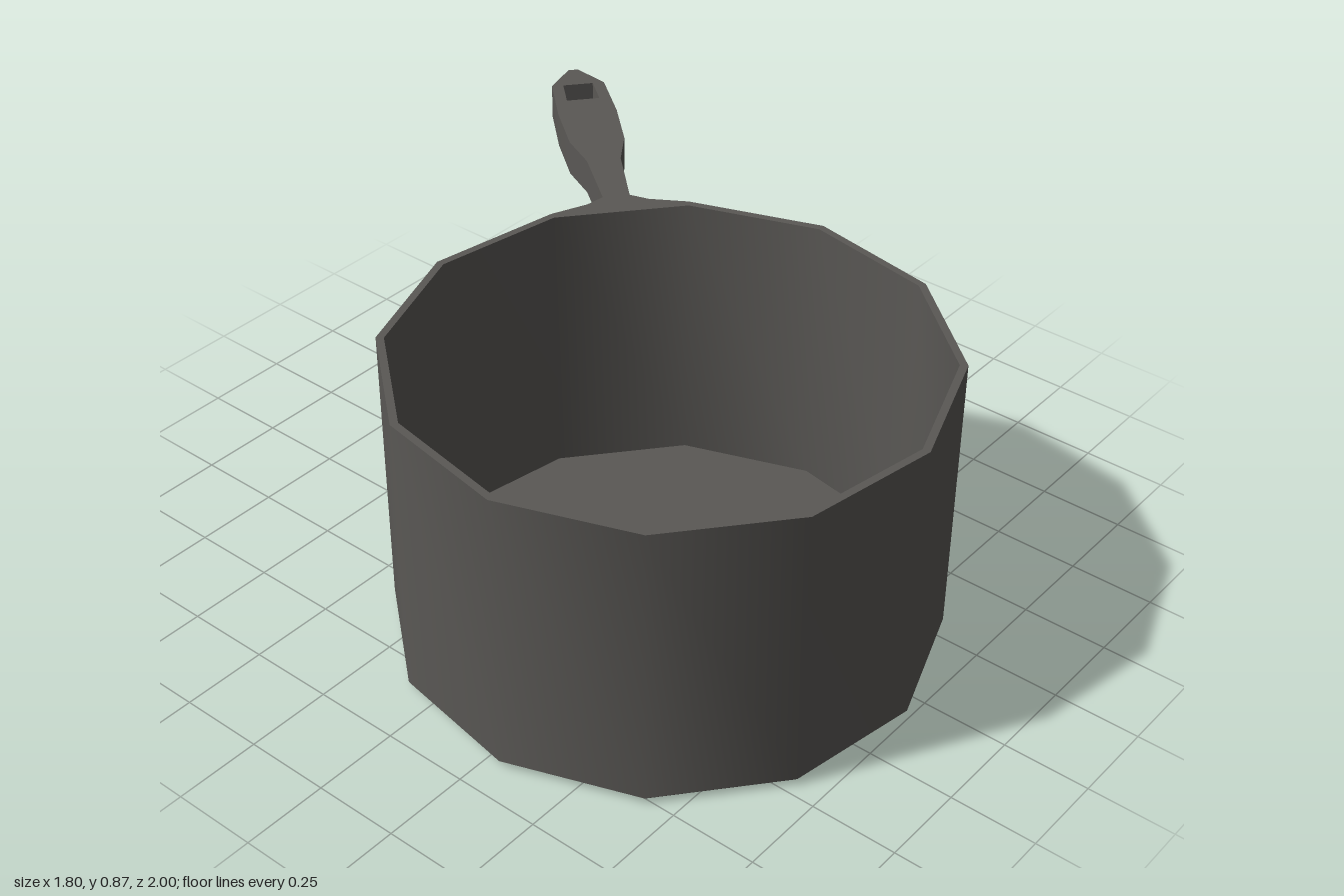
import * as THREE from 'three';
import { toCreasedNormals } from 'three/addons/utils/BufferGeometryUtils.js';

const HEIGHT = 0.865;
const CREASE = THREE.MathUtils.degToRad(38);

export function createModel() {
  const model = new THREE.Group();
  model.name = 'saucepan';
  const metal = new THREE.MeshStandardMaterial({ color: 0x5a5855 });

  const add = (name, geometry) => {
    const mesh = new THREE.Mesh(toCreasedNormals(geometry, CREASE), metal);
    mesh.name = name;
    pan.add(mesh);
    return mesh;
  };

  // The pan is built with its handle along +x, then turned to the back left
  const pan = new THREE.Group();
  pan.name = 'pan';
  pan.position.set(-0.14, 0, 0.23);
  pan.rotation.y = THREE.MathUtils.degToRad(50);
  model.add(pan);

  // Twelve-sided pot: base, bevelled foot, wall, rim, inner wall and floor
  const profile = [
    [0, 0], [0.745, 0], [0.765, 0.02], [0.765, HEIGHT],
    [0.743, HEIGHT], [0.743, 0.025], [0, 0.025],
  ].map(([r, y]) => new THREE.Vector2(r, y));
  add('pot', new THREE.LatheGeometry(profile, 12, Math.PI / 12));

  // Handle outline as half-widths along its length, mirrored
  const half = [
    [0.73, 0.198], [0.739, 0.198], [0.774, 0.088], [0.806, 0.039],
    [1.02, 0.05], [1.14, 0.082], [1.315, 0.089], [1.5, 0.081], [1.598, 0.015],
  ];
  const outline = [
    ...half.map(([u, w]) => new THREE.Vector2(u, -w)),
    ...half.map(([u, w]) => new THREE.Vector2(u, w)).reverse(),
  ];
  const shape = new THREE.Shape(outline);

  // Square hanging hole near the tip
  const hole = [[1.4, -0.05], [1.4, 0.05], [1.5, 0.046], [1.5, -0.046]];
  shape.holes.push(new THREE.Path(hole.map(([u, v]) => new THREE.Vector2(u, v))));

  const handle = new THREE.ExtrudeGeometry(shape, { depth: 0.105, bevelEnabled: false });
  handle.rotateX(Math.PI / 2);
  add('handle', handle).position.y = HEIGHT;

  return model;
}
